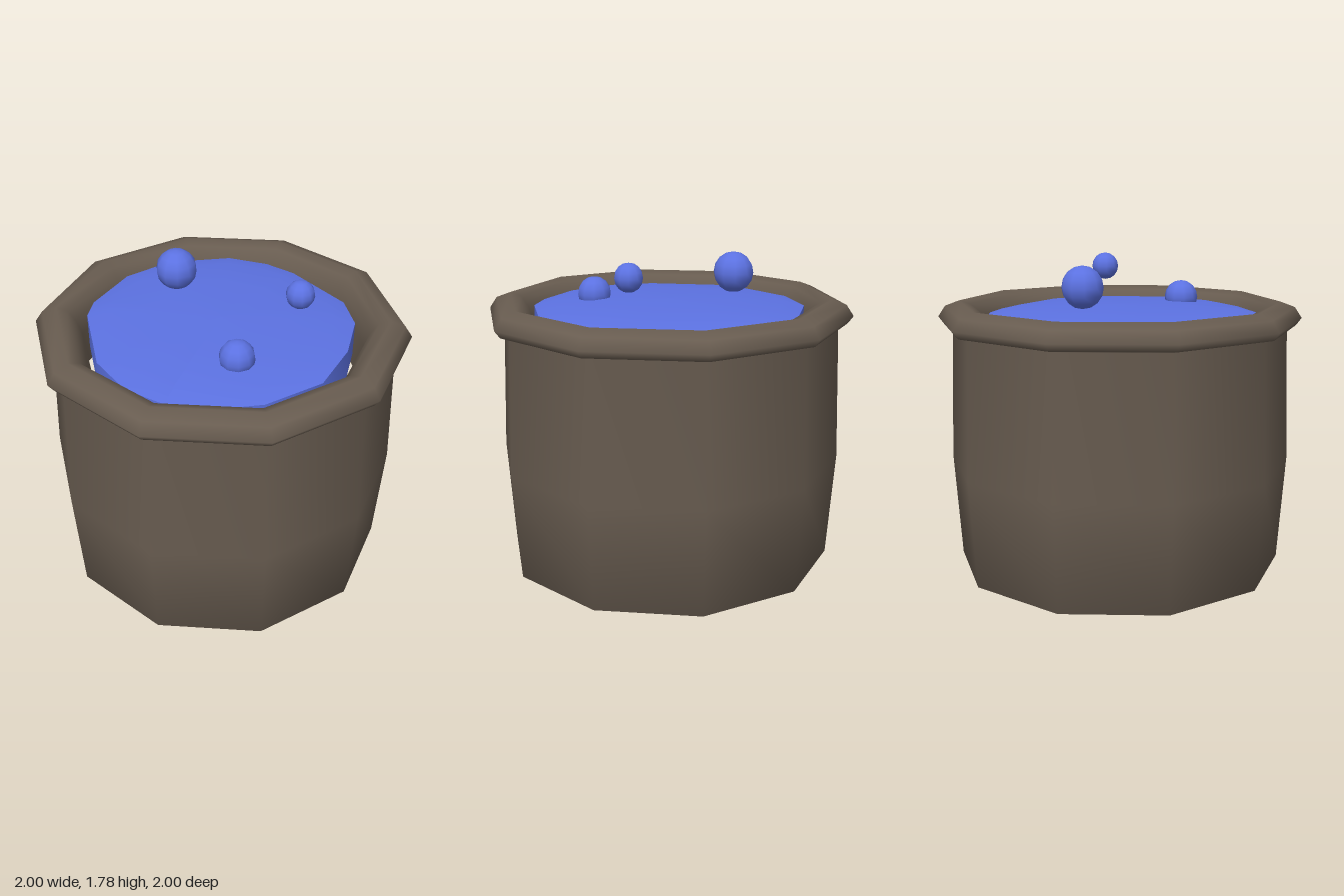
import * as THREE from 'three';

const iron = new THREE.MeshStandardMaterial({ color: 0x685c50 });
iron.name = 'dark iron';
const blue = new THREE.MeshStandardMaterial({ color: 0x5c72e2 });
blue.name = 'blue liquid';

const toPoints = (list) => list.map(([x, y]) => new THREE.Vector2(x, y));

function addMesh(group, name, geometry, material) {
  const mesh = new THREE.Mesh(geometry, material);
  mesh.name = name;
  group.add(mesh);
  return mesh;
}

// Uneven edge of the liquid, as x and z, from the front round by the left side
const shore = [
  [-0.1, 0.76], [0.2, 0.72], [0.37, 0.65], [0.61, 0.41],
  [0.69, 0.1], [0.69, -0.18], [0.6, -0.38], [0.27, -0.64],
  [0.1, -0.71], [-0.13, -0.73], [-0.46, -0.6], [-0.65, -0.38],
  [-0.74, -0.06], [-0.73, 0.08], [-0.53, 0.5], [-0.32, 0.69],
];

// Lathe whose rings follow the shore; profile x is a fraction of the shore
function shoreLathe(profile) {
  const geometry = new THREE.LatheGeometry(toPoints(profile), shore.length);
  const position = geometry.attributes.position;
  for (let i = 0; i <= shore.length; i++) {
    const [x, z] = shore[i % shore.length];
    profile.forEach(([t, y], j) => position.setXYZ(i * profile.length + j, x * t, y, z * t));
  }
  geometry.computeVertexNormals();
  return geometry;
}

export function createModel() {
  const model = new THREE.Group();
  model.name = 'cauldron';

  // Pot: ten-sided cast shell with a rolled rim and an inner wall
  const profile = [
    [0, 0], [0.7, 0.015], [0.915, 0.06], [0.955, 0.65], [0.93, 1.4],
    [0.98, 1.41], [1.01, 1.45], [0.97, 1.51], [0.89, 1.54],
    [0.83, 1.52], [0.79, 1.46], [0.76, 1.38], [0.74, 1.2],
  ];
  const turn = THREE.MathUtils.degToRad(27);
  addMesh(model, 'potWithRim', new THREE.LatheGeometry(toPoints(profile), 10, turn), iron);

  // Liquid: slightly domed surface with a short side below it
  const liquid = new THREE.Group();
  liquid.name = 'liquid';
  addMesh(liquid, 'liquidSurface', shoreLathe([[1, 1.475], [0.85, 1.5], [0.5, 1.52], [0, 1.525]]), blue);
  addMesh(liquid, 'liquidSide', shoreLathe([[1, 1.28], [1, 1.475]]), blue);
  model.add(liquid);

  // Bubbles: x, y, z, radius
  const bubbles = [
    [-0.31, 1.65, -0.23, 0.113],
    [0.41, 1.7, -0.03, 0.077],
    [0.17, 1.54, 0.38, 0.094],
  ];
  for (const [x, y, z, r] of bubbles) {
    addMesh(model, 'bubble', new THREE.SphereGeometry(r, 10, 8), blue).position.set(x, y, z);
  }

  return model;
}
